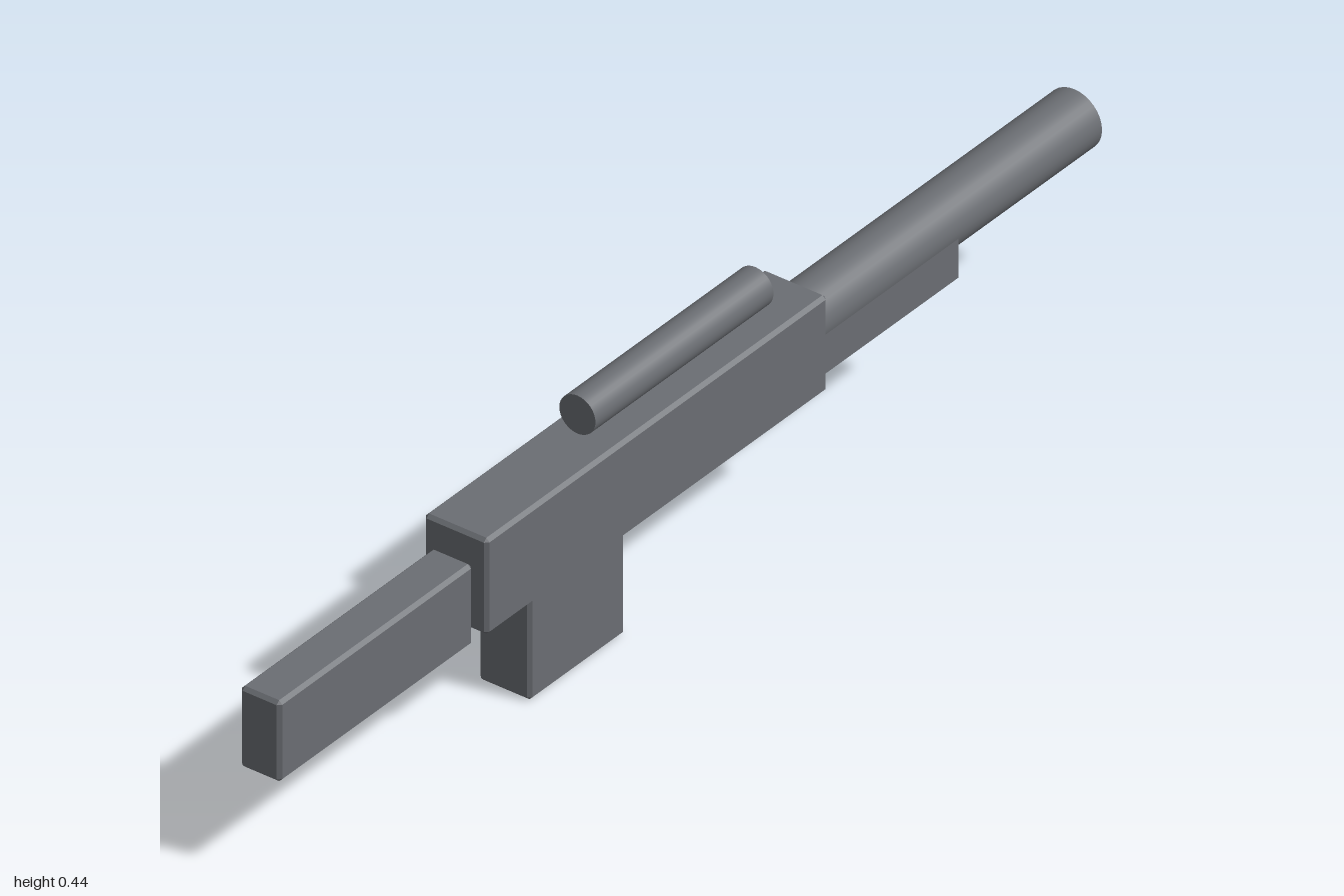
import * as THREE from 'three';
import { ConvexGeometry } from 'three/addons/geometries/ConvexGeometry.js';

const gunmetal = new THREE.MeshStandardMaterial({ color: 0x6b6e73 });
gunmetal.name = 'gunmetal grey';

// Box with a flat chamfer on every edge: three inset corners per box corner
function chamferBox(w, h, d, c) {
  const points = [];
  for (const x of [-1, 1]) for (const y of [-1, 1]) for (const z of [-1, 1]) {
    const [a, b, e] = [w / 2, h / 2, d / 2];
    points.push(
      new THREE.Vector3(x * a, y * (b - c), z * (e - c)),
      new THREE.Vector3(x * (a - c), y * b, z * (e - c)),
      new THREE.Vector3(x * (a - c), y * (b - c), z * e));
  }
  return new ConvexGeometry(points);
}

export function createModel() {
  const model = new THREE.Group();
  model.name = 'blockyProp';

  const add = (name, geometry, x, y) => {
    const mesh = new THREE.Mesh(geometry, gunmetal);
    mesh.name = name;
    mesh.position.set(x, y, 0);
    model.add(mesh);
  };
  // Blocks and tubes are given by their extents along x
  const block = (name, x0, x1, y0, y1, depth) =>
    add(name, chamferBox(x1 - x0, y1 - y0, depth, 0.006), (x0 + x1) / 2, (y0 + y1) / 2);
  const tube = (name, x0, x1, y, radius) =>
    add(name, new THREE.CylinderGeometry(radius, radius, x1 - x0, 32).rotateZ(-Math.PI / 2), (x0 + x1) / 2, y);

  // Main body with the rear block and the block below
  block('body', -0.52, 0.317, 0.185, 0.357, 0.12);
  block('stock', -1, -0.525, 0.165, 0.31, 0.076);
  block('lowerBlock', -0.4, -0.166, 0.002, 0.2, 0.098);
  model.children.at(-1).position.y -= 0.002;

  // Front tube, its under-block and the floating top tube
  block('foregrip', 0.3, 0.655, 0.203, 0.288, 0.102);
  tube('barrel', 0.3, 1, 0.289, 0.052);
  tube('scope', -0.22, 0.217, 0.401, 0.034);

  return model;
}
